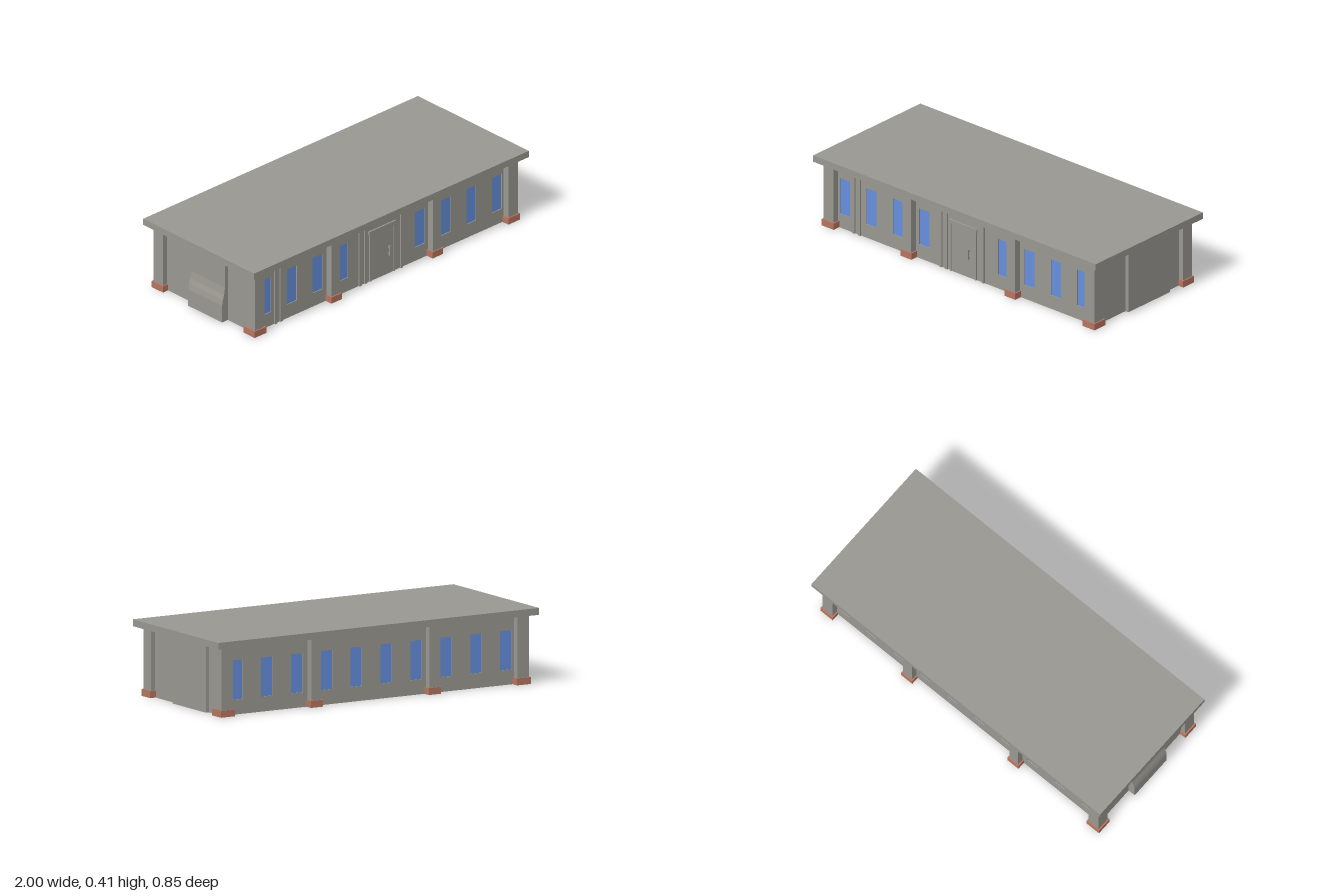
import * as THREE from 'three';

const WALL_H = 0.374;

export function createModel() {
  const model = new THREE.Group();
  const mat = (name, color) => Object.assign(
    new THREE.MeshStandardMaterial({ color, side: THREE.DoubleSide }), { name });
  const concrete = mat('concrete grey', 0x9a9891);
  const glass = mat('window blue', 0x6590de);
  const brick = mat('brick red', 0xb67561);

  const add = (name, geometry, material) => {
    const mesh = new THREE.Mesh(geometry, material);
    mesh.name = name;
    model.add(mesh);
    return mesh;
  };
  // Box given by its limits on each axis
  const box = (name, material, x0, x1, y0, y1, z0, z1) => {
    const mesh = add(name, new THREE.BoxGeometry(x1 - x0, y1 - y0, z1 - z0), material);
    mesh.position.set((x0 + x1) / 2, (y0 + y1) / 2, (z0 + z1) / 2);
    return mesh;
  };
  // Four-sided sleeve, open at both ends, standing on the ground
  const sleeve = (name, material, x, z, w, h, d) => {
    const geometry = new THREE.CylinderGeometry(Math.SQRT1_2, Math.SQRT1_2, 1, 4, 1, true)
      .rotateY(Math.PI / 4).scale(w, h, d).toNonIndexed();
    geometry.computeVertexNormals();
    add(name, geometry, material).position.set(x, h / 2, z);
  };
  const rect = (Type, x0, x1, y0, y1) => new Type([
    [x0, y0], [x1, y0], [x1, y1], [x0, y1],
  ].map(([x, y]) => new THREE.Vector2(x, y)));
  const extrude = (shape, depth) => new THREE.ExtrudeGeometry(shape, { depth, bevelEnabled: false });

  // Flat overhanging roof
  box('roof', concrete, -1, 1, 0.372, 0.409, -0.425, 0.425);

  // Thin long walls with window openings and slightly recessed panes
  const allWindows = Array.from({ length: 10 }, (_, i) => -0.84 + i * 0.1865);
  const frontWindows = allWindows.filter((x) => Math.abs(x) > 0.15);
  const longWall = (side, z, windows) => {
    const shape = rect(THREE.Shape, -0.93, 0.93, 0, WALL_H);
    for (const x of windows) {
      shape.holes.push(rect(THREE.Path, x - 0.036, x + 0.036, 0.08, 0.29));
      box(side + 'Window', glass, x - 0.036, x + 0.036, 0.08, 0.29, z + 0.005, z + 0.007);
    }
    add(side + 'Wall', extrude(shape, 0.012), concrete).position.z = z;
  };
  longWall('front', 0.338, frontWindows);
  longWall('back', -0.35, allWindows);

  // End walls, each with a hollow projecting panel between z0 and z1;
  // the outline lists distance from the centre against height
  const endWall = (side, s, z0, z1, outline) => {
    const inner = 0.926;
    for (const [a, b] of [[-0.345, z0], [z1, 0.345]]) {
      box(side + 'EndWall', concrete, s * 0.928 - 0.002, s * 0.928 + 0.002, 0, WALL_H, a, b);
    }
    const outer = outline.map(([x, y]) => new THREE.Vector2(s * x, y));
    const back = outline.map(([x, y]) => new THREE.Vector2(s * (x - 0.004), y)).reverse();
    const face = new THREE.Shape([...outer, ...back]);
    add(side + 'EndPanel', extrude(face, z1 - z0), concrete).position.z = z0;
    const cheek = new THREE.Shape([
      new THREE.Vector2(s * inner, 0), ...outer, new THREE.Vector2(s * inner, WALL_H),
    ]);
    for (const z of [z0, z1 - 0.003]) {
      add(side + 'PanelCheek', extrude(cheek, 0.003), concrete).position.z = z;
    }
  };
  endWall('left', 1, -0.22, 0.11, [[0.95, 0], [0.95, WALL_H]]);
  endWall('right', -1, -0.11, 0.15, [
    [0.972, 0], [0.972, 0.1], [0.966, 0.13], [0.957, 0.16], [0.951, 0.2], [0.95, WALL_H],
  ]);

  // Hollow columns, each standing in a brick collar
  for (const side of [-1, 1]) {
    for (const [x, w] of [[-0.924, 0.07], [-0.37, 0.06], [0.366, 0.06], [0.922, 0.07]]) {
      const z = side * 0.3515;
      const h = w / 2;
      sleeve('column', concrete, x, z, w, WALL_H, 0.073);
      sleeve('columnBase', brick, x, z, w + 0.016, 0.037, 0.087);
      const ring = rect(THREE.Shape, -h - 0.008, h + 0.008, -0.0435, 0.0435);
      ring.holes.push(rect(THREE.Path, -h, h, -0.0365, 0.0365));
      const ledge = add('columnBaseLedge', extrude(ring, 0.002), brick);
      ledge.rotation.x = -Math.PI / 2;
      ledge.position.set(x, 0.035, z);
    }
  }

  // Slim vertical ribs showing on both faces of the front wall
  for (const x of [-0.775, -0.735, -0.16, -0.12, 0.14]) {
    box('wallRib', concrete, x - 0.008, x + 0.008, 0, WALL_H, 0.33, 0.358);
  }

  // Door with surround and pull handle
  box('door', concrete, -0.08, 0.08, 0, 0.28, 0.335, 0.353);
  for (const s of [-1, 1]) {
    box('doorJamb', concrete, s * 0.086 - 0.006, s * 0.086 + 0.006, 0, 0.28, 0.331, 0.357);
  }
  box('doorLintel', concrete, -0.098, 0.098, 0.28, 0.3, 0.329, 0.359);
  box('doorHandle', concrete, 0.041, 0.049, 0.11, 0.17, 0.364, 0.372);
  for (const y of [0.12, 0.16]) {
    box('handleMount', concrete, 0.042, 0.048, y - 0.004, y + 0.004, 0.329, 0.366);
  }

  return model;
}
